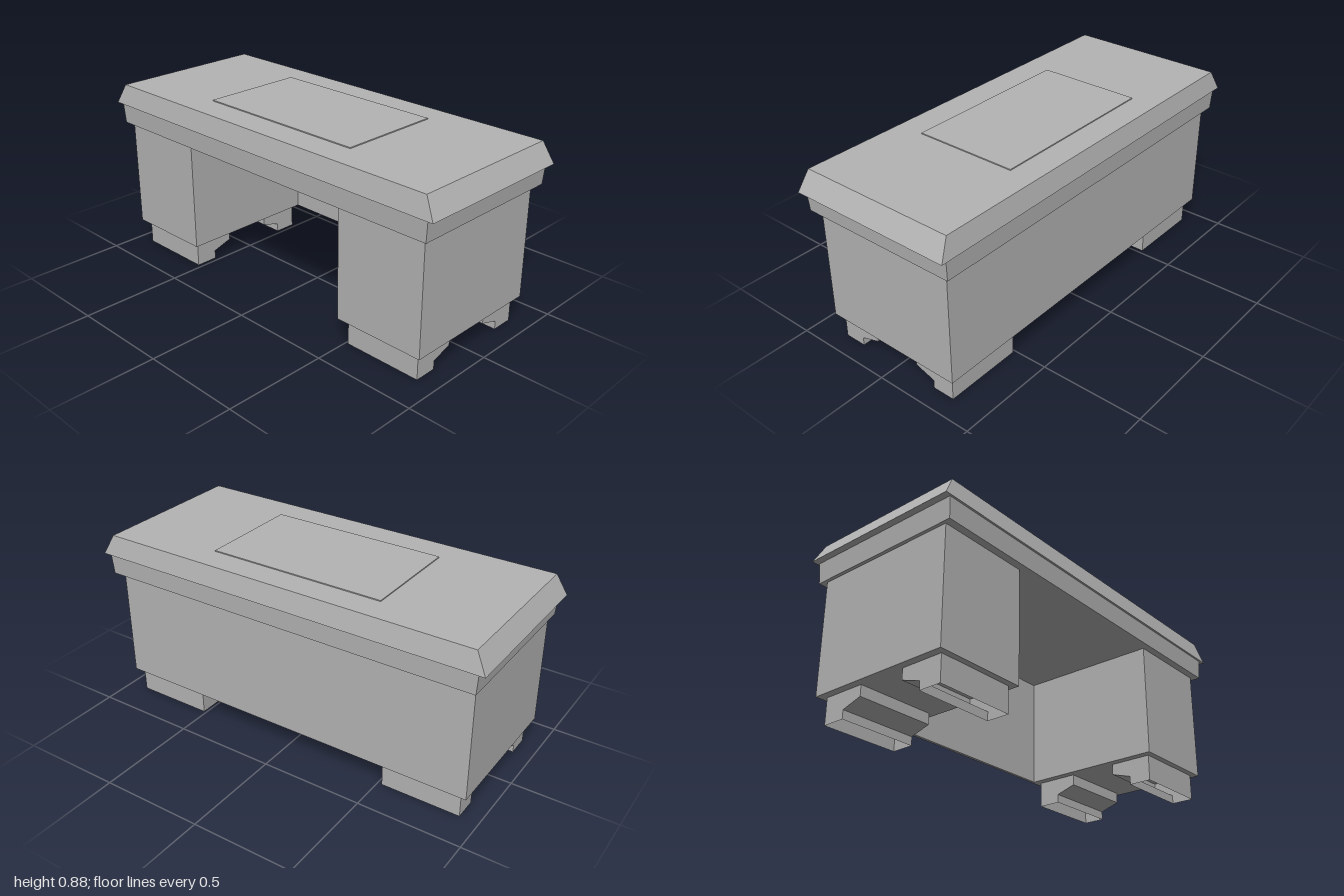
import * as THREE from 'three';

const grey = new THREE.MeshStandardMaterial({ color: 0xb4b4b4 });
grey.name = 'grey';
const greyOpen = grey.clone(); // same grey, for the open-bottomed feet
greyOpen.side = THREE.DoubleSide;

function add(parent, name, geometry, material = grey) {
  const mesh = new THREE.Mesh(geometry, material);
  mesh.name = name;
  parent.add(mesh);
  return mesh;
}

// Box between y0 and y1 whose top and bottom rectangles differ in half size
function taperedBox(y0, y1, bottom, top) {
  const geo = new THREE.BoxGeometry(2, 2, 2);
  const p = geo.attributes.position;
  for (let i = 0; i < p.count; i++) {
    const up = p.getY(i) > 0;
    const [hx, hz] = up ? top : bottom;
    p.setXYZ(i, p.getX(i) * hx, up ? y1 : y0, p.getZ(i) * hz);
  }
  geo.computeVertexNormals();
  return geo;
}

// Stepped foot profile as [z, y], left open along the ground
const footProfile = [[0.33, 0], [0.33, 0.125], [0.12, 0.125], [0.12, 0.073], [0.22, 0.042], [0.22, 0]];

function makeFoot(width) {
  const foot = new THREE.Group();
  const h = width / 2;
  const pos = [];
  for (let i = 0; i < footProfile.length - 1; i++) {
    const [z0, y0] = footProfile[i];
    const [z1, y1] = footProfile[i + 1];
    pos.push(-h, y0, z0, h, y0, z0, h, y1, z1, -h, y0, z0, h, y1, z1, -h, y1, z1);
  }
  const shell = new THREE.BufferGeometry();
  shell.setAttribute('position', new THREE.Float32BufferAttribute(pos, 3));
  shell.computeVertexNormals();
  add(foot, 'footShell', shell, greyOpen);

  // End plates: shape x is -z once turned to face +x
  for (const s of [1, -1]) {
    const shape = new THREE.Shape(footProfile.map(([z, y]) => new THREE.Vector2(-s * z, y)));
    const end = add(foot, 'footEnd', new THREE.ShapeGeometry(shape), greyOpen);
    end.rotation.y = s * Math.PI / 2;
    end.position.x = s * h;
  }
  return foot;
}

export function createModel() {
  const desk = new THREE.Group();
  desk.name = 'desk';

  // Two pedestals joined by a thin back panel: a U in plan, extruded upwards
  const plan = [[-0.945, -0.36], [0.93, -0.36], [0.93, 0.36], [0.475, 0.36],
    [0.475, -0.345], [-0.49, -0.345], [-0.49, 0.36], [-0.945, 0.36]];
  const shape = new THREE.Shape(plan.map(([x, z]) => new THREE.Vector2(x, -z)));
  const body = new THREE.ExtrudeGeometry(shape, { depth: 0.55, bevelEnabled: false });
  body.rotateX(-Math.PI / 2);
  body.translate(0, 0.125, 0);
  add(desk, 'pedestalsAndBackPanel', body);

  // Apron under the top, and the top with sloping edges
  add(desk, 'apron', taperedBox(0.675, 0.775, [0.961, 0.396], [0.968, 0.4]));
  add(desk, 'deskTop', taperedBox(0.775, 0.873, [1, 0.41], [0.949, 0.39]));

  // Writing pad
  const pad = add(desk, 'writingPad', new THREE.BoxGeometry(0.88, 0.007, 0.51));
  pad.position.set(-0.005, 0.8745, -0.005);

  // Front and back feet under each pedestal
  for (const x of [-0.715, 0.707]) {
    for (const turn of [0, Math.PI]) {
      const foot = makeFoot(0.388);
      foot.name = turn ? 'backFoot' : 'frontFoot';
      foot.position.x = x;
      foot.rotation.y = turn;
      desk.add(foot);
    }
  }
  return desk;
}
